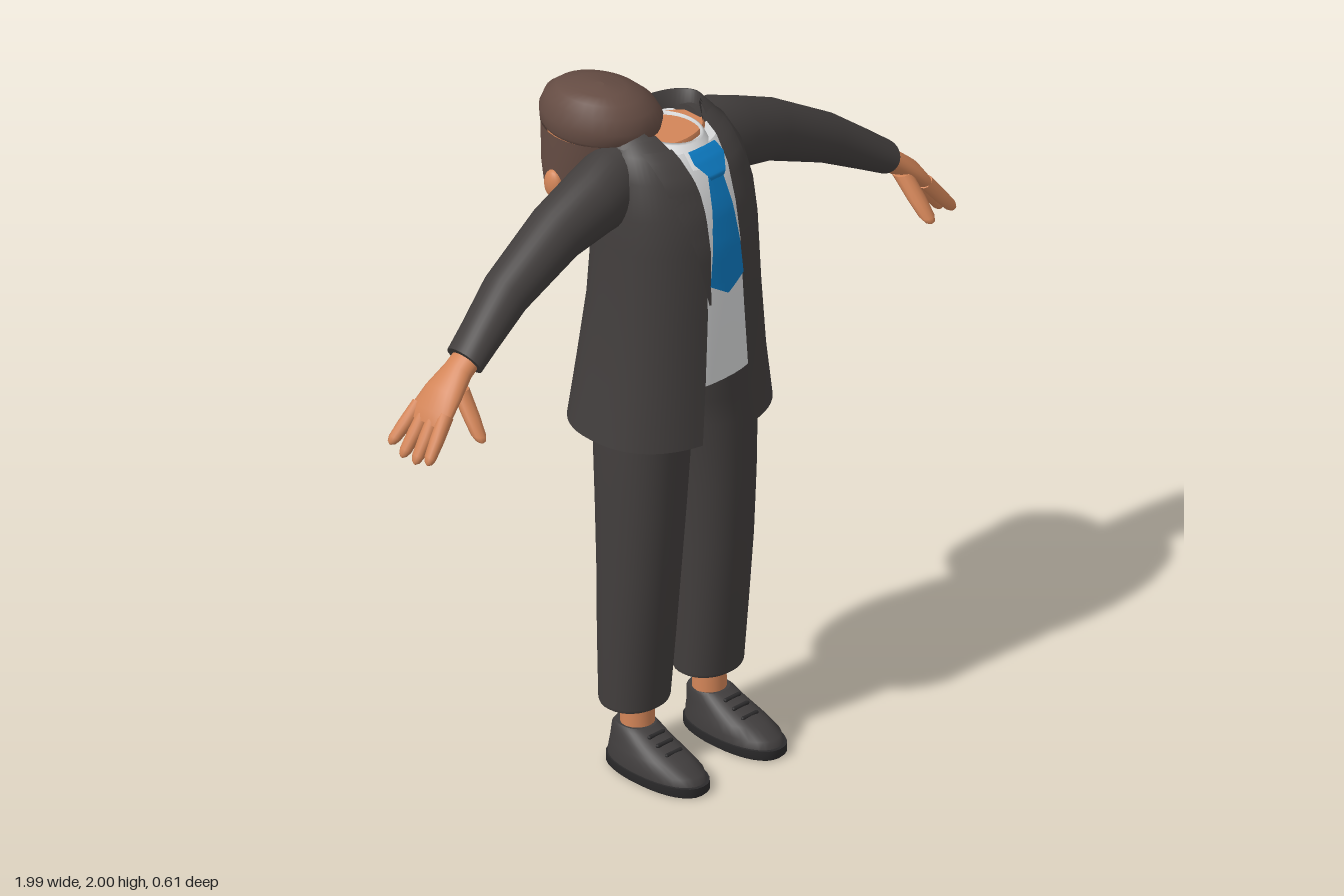
import * as THREE from 'three';

const mat = (name, color, side = THREE.FrontSide) => {
  const m = new THREE.MeshStandardMaterial({ color, side });
  m.name = name;
  return m;
};

// Ring: [x, y, z, ru, rv, slope in degrees (90 = upright), front gap half width]
function loft(rings, { n = 32, p = 1, cap = true, open = false } = {}) {
  const pos = [], idx = [];
  const rows = rings.map(([cx, cy, cz, ru, rv, s = 90, g = 0]) => {
    const a = THREE.MathUtils.degToRad(s - 90);
    const d = open ? Math.asin(Math.min(0.95, Math.pow(g / ru, 1 / p))) : 0;
    const row = [];
    for (let j = 0; j <= n; j++) {
      const t = Math.PI / 2 + d + (2 * Math.PI - 2 * d) * (j / n);
      const c = Math.cos(t), k = Math.sin(t);
      const u = ru * Math.sign(c) * Math.pow(Math.abs(c), p);
      const v = rv * Math.sign(k) * Math.pow(Math.abs(k), p);
      row.push([cx + u * Math.cos(a), cy + u * Math.sin(a), cz + v]);
    }
    return row;
  });
  const w = open ? n + 1 : n;
  rows.forEach(r => r.slice(0, w).forEach(q => pos.push(...q)));
  for (let i = 0; i < rows.length - 1; i++) for (let j = 0; j < n; j++) {
    const a = i * w + j, b = i * w + (j + 1) % w, c = a + w, d = b + w;
    idx.push(a, c, b, b, c, d);
  }
  if (cap && !open) [0, rows.length - 1].forEach(i => {
    const base = pos.length / 3;
    rows[i].slice(0, n).forEach(q => pos.push(...q));
    pos.push(...rings[i].slice(0, 3));
    for (let j = 0; j < n; j++) {
      const a = base + j, b = base + (j + 1) % n;
      if (i === 0) idx.push(base + n, a, b); else idx.push(base + n, b, a);
    }
  });
  return build(pos, idx);
}

function build(pos, idx) {
  const g = new THREE.BufferGeometry();
  g.setAttribute('position', new THREE.Float32BufferAttribute(pos, 3));
  g.setIndex(idx);
  g.computeVertexNormals();
  return g;
}

function mirrored(geo) {
  const g = geo.clone().scale(-1, 1, 1), ix = g.index.array;
  for (let i = 0; i < ix.length; i += 3) [ix[i], ix[i + 1]] = [ix[i + 1], ix[i]];
  g.computeVertexNormals();
  return g;
}

// Tapered digit with a rounded tip
function digit(a, b, r) {
  const s = THREE.MathUtils.radToDeg(Math.atan2(b[1] - a[1], b[0] - a[0]));
  return loft([[0, 1], [0.5, 0.95], [0.85, 0.8], [0.95, 0.55], [1, 0.12]].map(([t, k]) =>
    [0, 1, 2].map(i => a[i] + (b[i] - a[i]) * t).concat(r * k, r * k, s)), { n: 12 });
}

// Jacket rings: y, z, rx, rz, half gap
const P = 0.85;
const JACKET = [
  [1.03, 0.03, 0.287, 0.23, 0.098], [1.2, 0.035, 0.262, 0.215, 0.08],
  [1.4, 0.045, 0.24, 0.2, 0.068], [1.6, 0.048, 0.23, 0.188, 0.062],
  [1.7, 0.042, 0.225, 0.177, 0.062], [1.8, 0.03, 0.21, 0.152, 0.07],
  [1.86, 0.01, 0.185, 0.122, 0.08], [1.893, -0.015, 0.15, 0.088, 0.085]];

function jacketZ(x, y) {
  let i = 0;
  while (i < JACKET.length - 2 && y > JACKET[i + 1][0]) i++;
  const A = JACKET[i], B = JACKET[i + 1];
  const f = Math.min(1, Math.max(0, (y - A[0]) / (B[0] - A[0])));
  const [, z, rx, rz] = A.map((v, k) => v + (B[k] - v) * f);
  return z + rz * Math.pow(Math.max(0, 1 - Math.pow(Math.abs(x) / rx, 2 / P)), P / 2);
}

// Thin plate laid on the chest; rows are [y, x0, x1, lift]
function plate(rows, cols = 6, sub = 5) {
  const pos = [], idx = [];
  let count = 0;
  rows.forEach((r, i) => {
    const next = rows[i + 1];
    for (let k = 0; k < (next ? sub : 1); k++) {
      const [y, x0, x1, lift] = next ? r.map((v, q) => v + (next[q] - v) * k / sub) : r;
      for (let c = 0; c <= cols; c++) {
        const x = x0 + (x1 - x0) * c / cols;
        pos.push(x, y, jacketZ(x, y) + lift);
      }
      count++;
    }
  });
  for (let i = 0; i < count - 1; i++) for (let c = 0; c < cols; c++) {
    const a = i * (cols + 1) + c, b = a + cols + 1;
    idx.push(a, a + 1, b, a + 1, b + 1, b);
  }
  return build(pos, idx);
}

export function createModel() {
  const root = new THREE.Group();
  const suit = mat('suit charcoal', 0x423e3d, THREE.DoubleSide);
  const shoeMat = mat('shoe leather', 0x403d3d);
  const soleMat = mat('sole black', 0x2b2a2b);
  const skin = mat('skin', 0xd38558);
  const hair = mat('hair brown', 0x664d44, THREE.DoubleSide);
  const white = mat('shirt white', 0xd8d9da, THREE.DoubleSide);
  const blue = mat('tie blue', 0x0c79c0, THREE.DoubleSide);

  const add = (name, geo, m) => {
    const mesh = new THREE.Mesh(geo, m);
    mesh.name = name;
    root.add(mesh);
  };
  const pair = (name, geo, m) => {
    add(name + 'Left', geo, m);
    add(name + 'Right', mirrored(geo), m);
  };

  // Jacket, open at the front, with lapels and a folded collar
  const coat = JACKET.map(([y, z, rx, rz, g]) => [0, y, z, rx, rz, 90, g]);
  add('jacket', loft(coat, { n: 56, p: P, open: true }), suit);
  add('jacketCollar', loft([
    [0, 1.87, -0.005, 0.18, 0.118, 90, 0.09], [0, 1.903, -0.02, 0.155, 0.085, 90, 0.11],
    [0, 1.91, -0.015, 0.14, 0.075, 90, 0.105], [0, 1.86, 0, 0.13, 0.085, 90, 0.1]],
    { n: 40, open: true }), suit);
  pair('lapel', plate([[1.44, 0.06, 0.066, 0.006], [1.6, 0.058, 0.1, 0.009], [1.74, 0.058, 0.14, 0.009],
    [1.755, 0.058, 0.118, 0.009], [1.77, 0.06, 0.145, 0.009], [1.87, 0.078, 0.155, 0.009]]), suit);

  // Shirt, its collar and the tie
  add('shirt', loft([[1.185, 0.035, 0.235, 0.195], [1.4, 0.043, 0.222, 0.187], [1.6, 0.046, 0.21, 0.176],
    [1.7, 0.04, 0.2, 0.166], [1.8, 0.03, 0.18, 0.143], [1.85, 0.015, 0.14, 0.117]]
    .map(([y, z, rx, rz]) => [0, y, z, rx, rz]), { n: 48, p: P }), white);
  add('shirtCollar', loft([[0, 1.81, 0.045, 0.105, 0.13], [0, 1.868, 0.025, 0.085, 0.105],
    [0, 1.872, 0.025, 0.078, 0.098], [0, 1.845, 0.03, 0.075, 0.09]], { cap: false }), white);
  add('tieBlade', plate([[1.458, -0.003, 0.003, 0.008], [1.495, -0.062, 0.062, 0.008],
    [1.65, -0.045, 0.045, 0.01], [1.8, -0.026, 0.026, 0.018]]), blue);
  add('tieKnot', plate([[1.79, -0.024, 0.024, 0.024], [1.805, -0.032, 0.032, 0.03],
    [1.838, -0.056, 0.056, 0.03], [1.862, -0.05, 0.05, 0.022]]), blue);
  add('neckBase', loft([[0, 1.8, 0.01, 0.13, 0.09], [0, 1.85, 0.005, 0.13, 0.09],
    [0, 1.862, 0.01, 0.12, 0.08]]), skin);

  // Sleeves
  pair('sleeve', loft([[0.1, 1.765, -0.01, 0.115, 0.085, -6], [0.19, 1.757, -0.005, 0.115, 0.092, -10],
    [0.27, 1.74, 0, 0.1, 0.09, -16], [0.4, 1.698, 0, 0.085, 0.082, -22], [0.6, 1.598, 0.012, 0.068, 0.07, -29],
    [0.72, 1.523, 0.034, 0.054, 0.062, -32], [0.787, 1.48, 0.045, 0.046, 0.06, -32]]), suit);

  // Hands with four fingers and a thumb
  pair('palm', loft([[0.755, 1.5, 0.045, 0.032, 0.042, -35], [0.81, 1.46, 0.045, 0.032, 0.044, -40],
    [0.865, 1.415, 0.045, 0.031, 0.062, -47], [0.905, 1.37, 0.041, 0.025, 0.07, -53],
    [0.925, 1.343, 0.04, 0.016, 0.066, -55]], { n: 24 }), skin);
  [[-0.01, -0.032, 1.275], [0.022, 0.012, 1.252], [0.056, 0.06, 1.25], [0.09, 0.108, 1.265]].forEach(([z0, z1, y], i) =>
    pair('finger' + (i + 1), digit([0.9, 1.375, z0], [0.99, y, z1], 0.021), skin));
  pair('thumb', digit([0.83, 1.425, 0.07], [0.845, 1.3, 0.168], 0.026), skin);

  // Trousers
  pair('trouserLeg', loft([[0.138, 0.195, 0.035, 0.095, 0.083], [0.138, 0.205, 0.035, 0.098, 0.088],
    [0.137, 0.4, 0.042, 0.104, 0.1], [0.136, 0.6, 0.05, 0.107, 0.112], [0.131, 0.8, 0.052, 0.113, 0.124],
    [0.124, 1.0, 0.05, 0.121, 0.134], [0.108, 1.08, 0.05, 0.13, 0.138], [0.09, 1.2, 0.05, 0.135, 0.145]],
    { p: 0.9 }), suit);

  // Ankles and shoes
  pair('ankle', loft([[0.135, 0.08, 0.045, 0.048, 0.046], [0.135, 0.22, 0.042, 0.046, 0.046]]), skin);
  pair('sole', loft([[0.145, 0, 0.13, 0.076, 0.165], [0.145, 0.006, 0.13, 0.082, 0.171],
    [0.145, 0.03, 0.13, 0.082, 0.171]], { p: 0.88 }), soleMat);
  pair('shoe', loft([[0.145, 0.025, 0.128, 0.078, 0.165], [0.145, 0.05, 0.124, 0.078, 0.158],
    [0.144, 0.075, 0.1, 0.07, 0.13], [0.142, 0.1, 0.068, 0.062, 0.095], [0.14, 0.122, 0.046, 0.056, 0.07],
    [0.138, 0.13, 0.04, 0.05, 0.058]], { p: 0.9 }), shoeMat);
  [[0.118, 0.122], [0.104, 0.153], [0.088, 0.187]].forEach(([y, z], i) => {
    const lace = new THREE.CapsuleGeometry(0.006, 0.05, 4, 8).rotateZ(Math.PI / 2).translate(0.143, y, z);
    pair('lace' + (i + 1), lace, soleMat);
  });

  // Head, set back and toward the right shoulder
  add('head', loft([[-0.1, 1.665, -0.16, 0.06, 0.05], [-0.1, 1.68, -0.155, 0.1, 0.085],
    [-0.1, 1.74, -0.14, 0.13, 0.13], [-0.1, 1.88, -0.135, 0.135, 0.145]]), skin);
  add('backHair', loft([[-0.1, 1.675, -0.165, 0.125, 0.095, 90, 0.1], [-0.1, 1.69, -0.165, 0.133, 0.12, 90, 0.105],
    [-0.1, 1.75, -0.152, 0.143, 0.142, 90, 0.11], [-0.097, 1.87, -0.138, 0.152, 0.162, 90, 0.11]],
    { open: true }), hair);
  add('topHair', loft([[-0.098, 1.862, -0.135, 0.145, 0.158, 88], [-0.098, 1.872, -0.133, 0.153, 0.17, 87],
    [-0.098, 1.905, -0.13, 0.156, 0.175, 86], [-0.104, 1.945, -0.127, 0.14, 0.157, 84],
    [-0.112, 1.975, -0.123, 0.109, 0.122, 84], [-0.12, 1.992, -0.115, 0.068, 0.075, 86],
    [-0.125, 1.999, -0.11, 0.012, 0.014, 90]]), hair);
  [-1, 1].forEach(s => add(s > 0 ? 'earLeft' : 'earRight', new THREE.SphereGeometry(1, 16, 12)
    .scale(0.02, 0.042, 0.03).translate(-0.1 + s * 0.142, 1.72, -0.165), skin));

  return root;
}
